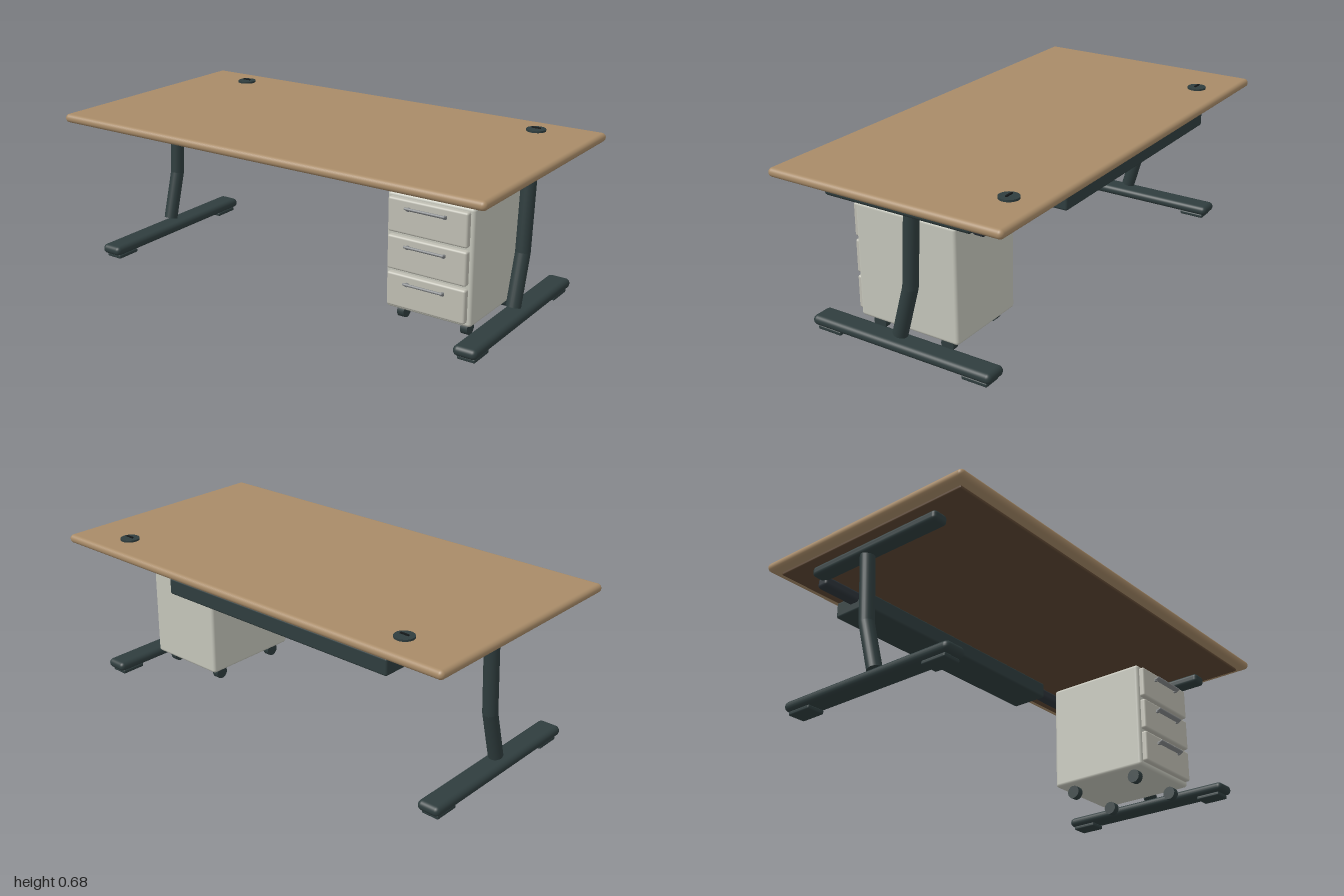
import * as THREE from 'three';
import { RoundedBoxGeometry } from 'three/addons/geometries/RoundedBoxGeometry.js';

const material = (name, color) => {
  const m = new THREE.MeshStandardMaterial({ color });
  m.name = name;
  return m;
};

export function createModel() {
  const wood = material('wood', 0xa88b68);
  const underWood = material('dark wood', 0x5c4632);
  const steel = material('dark steel', 0x2f3d3e);
  const beamSteel = material('beam steel', 0x2d343a);
  const shell = material('cabinet grey', 0xc4c5ba);
  const front = material('drawer grey', 0xbfbeb3);
  const chrome = material('handle grey', 0x85888a);
  const black = material('slot black', 0x15191a);

  const desk = new THREE.Group();
  desk.name = 'desk';

  const add = (parent, name, geometry, mat, x = 0, y = 0, z = 0) => {
    const mesh = new THREE.Mesh(geometry, mat);
    mesh.name = name;
    mesh.position.set(x, y, z);
    parent.add(mesh);
    return mesh;
  };
  // Rounded box given by its extents
  const block = (parent, name, mat, [x0, x1], [y0, y1], [z0, z1], r) =>
    add(parent, name, new RoundedBoxGeometry(x1 - x0, y1 - y0, z1 - z0, 4, r), mat,
      (x0 + x1) / 2, (y0 + y1) / 2, (z0 + z1) / 2);
  // Round bar between two points
  const bar = (parent, name, mat, a, b, r) => {
    const dir = b.clone().sub(a);
    const mesh = add(parent, name, new THREE.CylinderGeometry(r, r, dir.length(), 24), mat);
    mesh.position.copy(a).add(b).multiplyScalar(0.5);
    mesh.quaternion.setFromUnitVectors(new THREE.Vector3(0, 1, 0), dir.normalize());
    return mesh;
  };

  // Desktop and its inset underside
  block(desk, 'tabletop', wood, [-1, 1], [0.634, 0.671], [-0.522, 0.522], 0.018);
  block(desk, 'underside', underWood, [-0.955, 0.955], [0.622, 0.636], [-0.478, 0.478], 0.005);

  // Cable grommets
  for (const x of [-0.735, 0.753]) {
    const grommet = new THREE.Group();
    grommet.name = 'cableGrommet';
    grommet.position.set(x, 0.671, -0.385);
    add(grommet, 'grommetCap', new THREE.CylinderGeometry(0.04, 0.04, 0.008, 32), steel, 0, 0.004, 0);
    add(grommet, 'grommetSlot', new THREE.BoxGeometry(0.038, 0.005, 0.007), black, 0, 0.0125, 0);
    desk.add(grommet);
  }

  // Side frames: top rail, bent leg, foot and floor pads
  for (const side of [-1, 1]) {
    const frame = new THREE.Group();
    frame.name = side > 0 ? 'leftFrame' : 'rightFrame';
    frame.position.x = side * 0.885;
    block(frame, 'topRail', steel, [-0.035, 0.035], [0.579, 0.623], [-0.338, 0.322], 0.016);
    const top = new THREE.Vector3(0, 0.6, -0.06);
    const bend = new THREE.Vector3(0, 0.288, -0.04);
    const bottom = new THREE.Vector3(0, 0.079, 0.018);
    bar(frame, 'upperLeg', steel, top, bend, 0.03);
    bar(frame, 'lowerLeg', steel, bend, bottom, 0.03);
    add(frame, 'legBend', new THREE.SphereGeometry(0.03, 24, 16), steel, 0, bend.y, bend.z);
    block(frame, 'foot', steel, [-0.05, 0.05], [0.019, 0.061], [-0.417, 0.417], 0.02);
    for (const z of [-0.341, 0.341]) {
      block(frame, 'floorPad', steel, [-0.038, 0.038], [0.002, 0.0195], [z - 0.056, z + 0.056], 0.006);
    }
    desk.add(frame);
  }

  // Rear cross beam and cable tray
  block(desk, 'crossBeam', beamSteel, [-0.87, 0.87], [0.555, 0.599], [-0.36, -0.304], 0.014);
  block(desk, 'cableTray', steel, [-0.698, 0.45], [0.52, 0.591], [-0.435, -0.262], 0.009);

  // Drawer cabinet
  const cabinet = new THREE.Group();
  cabinet.name = 'drawerCabinet';
  desk.add(cabinet);
  block(cabinet, 'cabinetBody', shell, [0.453, 0.827], [0.062, 0.537], [-0.204, 0.257], 0.014);

  for (const y of [0.15, 0.302, 0.454]) {
    block(cabinet, 'drawerFront', front, [0.469, 0.811], [y - 0.069, y + 0.069], [0.25, 0.28], 0.009);
    // Tilted pull with a short post at each end
    const pull = block(cabinet, 'drawerHandle', chrome,
      [0.553, 0.727], [y + 0.034, y + 0.044], [0.283, 0.306], 0.0045);
    pull.rotation.x = -0.5;
    for (const x of [0.562, 0.718]) {
      block(cabinet, 'handlePost', chrome, [x - 0.006, x + 0.006], [y + 0.028, y + 0.042], [0.277, 0.292], 0.003);
    }
  }

  // Casters
  for (const x of [0.5, 0.78]) {
    for (const z of [-0.13, 0.193]) {
      const wheel = add(cabinet, 'caster', new THREE.CylinderGeometry(0.029, 0.029, 0.03, 20), steel, x, 0.034, z);
      wheel.rotation.z = Math.PI / 2;
    }
  }

  return desk;
}
